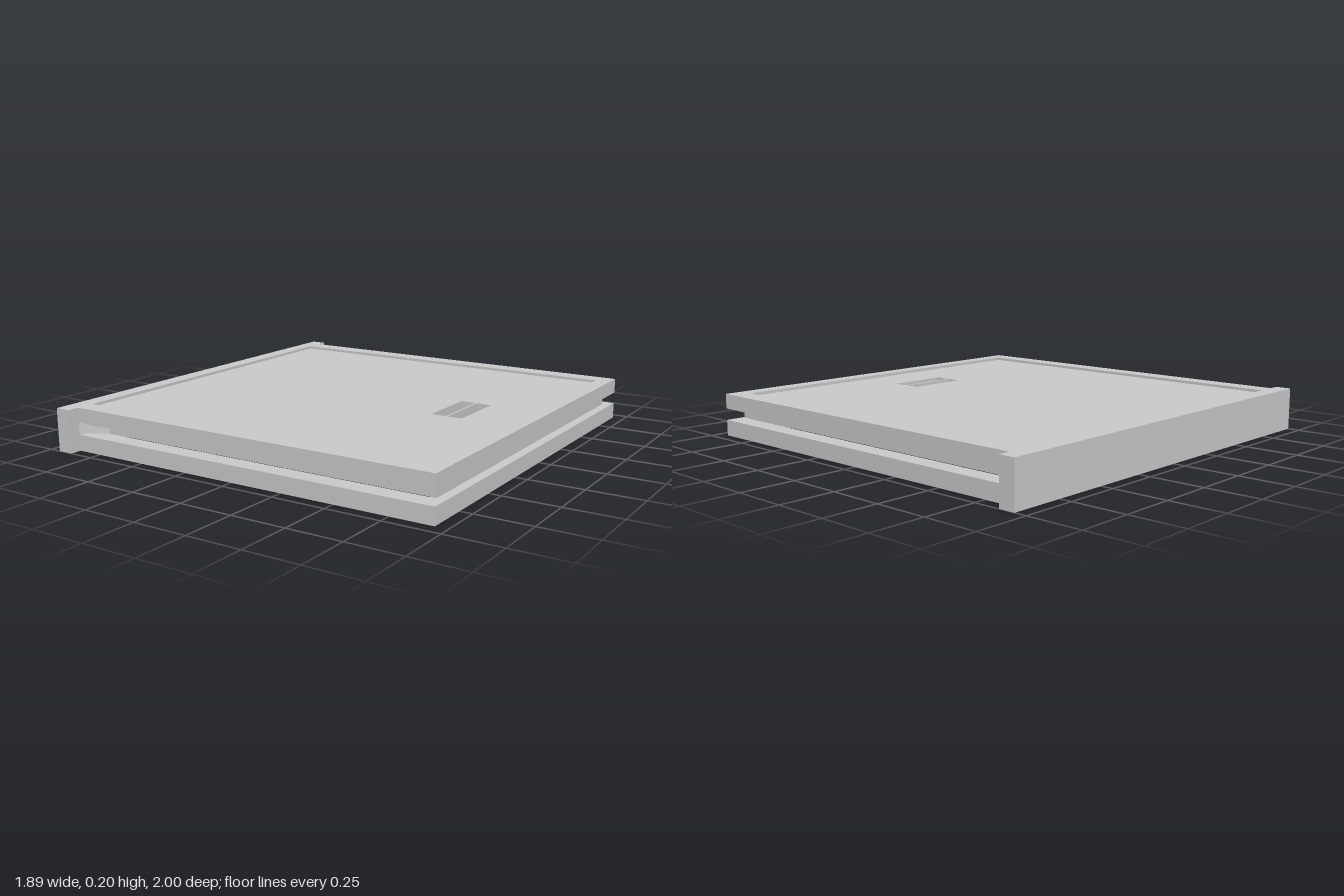
import * as THREE from 'three';

const material = new THREE.MeshStandardMaterial({ color: 0xcccccc, flatShading: true });

// Rectangle in plan (x, z) as a list of points
const rect = (x0, x1, z) => [[x0, -z], [x1, -z], [x1, z], [x0, z]];
const toPoints = (pts) => pts.map(([x, z]) => new THREE.Vector2(x, z));

// Horizontal slab between y0 and y1, from a plan outline with optional holes
function slab(name, outline, y0, y1, holes = []) {
  const shape = new THREE.Shape(toPoints(outline));
  holes.forEach((h) => shape.holes.push(new THREE.Path(toPoints(h))));
  const geometry = new THREE.ExtrudeGeometry(shape, { depth: y1 - y0, bevelEnabled: false });
  geometry.rotateX(-Math.PI / 2).translate(0, y0, 0);
  const mesh = new THREE.Mesh(geometry, material);
  mesh.name = name;
  return mesh;
}

export function createModel() {
  const group = new THREE.Group();
  group.name = 'slidingTray';

  const back = -0.87;
  const opening = rect(back, 0.875, 0.86);

  // Full-height end bar, wider than the frames
  group.add(slab('endBar', rect(-0.945, back, 1), 0, 0.2));

  // Upper and lower open frames, three sided, closed by the end bar
  const frame = [
    [back, -0.945], [0.945, -0.945], [0.945, 0.945], [back, 0.945],
    [back, 0.86], [0.875, 0.86], [0.875, -0.86], [back, -0.86],
  ];
  group.add(slab('lowerFrame', frame, 0, 0.075));
  group.add(slab('upperFrame', frame, 0.13, 0.2));

  // Core plate in the groove, flaring out to the end bar
  const core = [
    [back, -0.945], [-0.76, -0.87], [0.91, -0.87],
    [0.91, 0.87], [-0.76, 0.87], [back, 0.945],
  ];
  group.add(slab('corePlate', core, 0.08, 0.125));

  // Recessed top panel with a pair of finger slots
  group.add(slab('topPanel', rect(back, 0.865, 0.86), 0.125, 0.187, [
    rect(0.49, 0.56, 0.145),
    rect(0.57, 0.64, 0.145),
  ]));

  return group;
}
